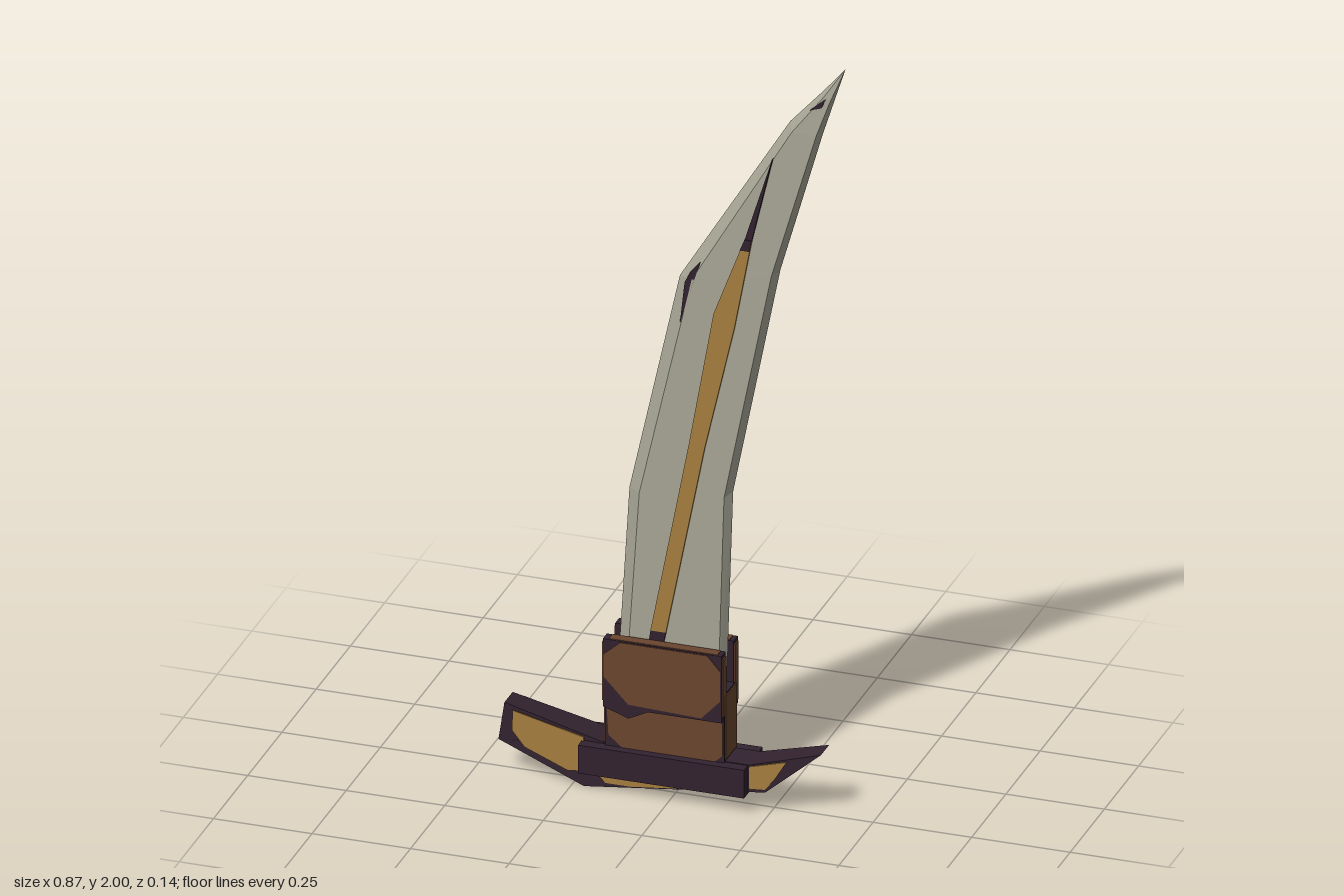
import * as THREE from 'three';

const flat = (name, color) => {
  const m = new THREE.MeshStandardMaterial({ color });
  m.name = name;
  return m;
};

export function createModel() {
  const steel = flat('steel', 0xa6a595);
  const gold = flat('gold', 0xa57d3e);
  const leather = flat('leather', 0x6a452f);
  const dark = flat('dark', 0x32222f);
  const model = new THREE.Group();
  model.name = 'curvedSword';

  const add = (name, geometry, material) => {
    const mesh = new THREE.Mesh(geometry, material);
    mesh.name = name;
    model.add(mesh);
    return mesh;
  };
  const box = (name, x0, x1, y0, y1, z0, z1, material) =>
    add(name, new THREE.BoxGeometry(x1 - x0, y1 - y0, z1 - z0), material)
      .position.set((x0 + x1) / 2, (y0 + y1) / 2, (z0 + z1) / 2);
  // Outline in the front plane, given thickness from z0 to z1
  const slab = (name, points, z0, z1, material) => {
    const shape = new THREE.Shape(points.map(([x, y]) => new THREE.Vector2(x, y)));
    const g = new THREE.ExtrudeGeometry(shape, { depth: z1 - z0, bevelEnabled: false });
    return add(name, g.translate(0, 0, z0), material);
  };
  // The same thin plate on the front and the back of a part
  const inlay = (name, points, z, material) => {
    slab(name + 'Front', points, z - 0.001, z + 0.002, material);
    slab(name + 'Back', points, -z - 0.002, -z + 0.001, material);
  };

  // Blade: left edge, left bevel, right bevel, right edge, half thickness
  const stations = [
    [[-0.148, 0.3], [-0.118, 0.3], [0.115, 0.3], [0.128, 0.3], 0.024],
    [[-0.118, 0.8], [-0.085, 0.8], [0.13, 0.82], [0.145, 0.83], 0.024],
    [[0.01, 1.385], [0.048, 1.39], [0.25, 1.43], [0.265, 1.44], 0.024],
    [[0.29, 1.84], [0.3, 1.82], [0.362, 1.82], [0.373, 1.82], 0.018],
    [[0.375, 1.935], [0.38, 1.925], [0.396, 1.915], [0.403, 1.915], 0.014],
    [[0.43, 2], [0.43, 2], [0.43, 2], [0.43, 2], 0],
  ];
  const rings = stations.map(([l, li, ri, r, t]) => [
    [...l, 0], [...li, t], [...ri, t], [...r, 0], [...ri, -t], [...li, -t],
  ]);
  const verts = [];
  for (let i = 0; i < rings.length - 1; i++) {
    for (let j = 0; j < 6; j++) {
      const k = (j + 1) % 6;
      const [a, b, c, d] = [rings[i][j], rings[i][k], rings[i + 1][k], rings[i + 1][j]];
      verts.push(...a, ...b, ...c, ...a, ...c, ...d);
    }
  }
  for (let j = 1; j < 5; j++) verts.push(...rings[0][0], ...rings[0][j + 1], ...rings[0][j]);
  const blade = new THREE.BufferGeometry();
  blade.setAttribute('position', new THREE.Float32BufferAttribute(verts, 3));
  blade.computeVertexNormals();
  add('blade', blade, steel);

  // Raised rib through the blade with dark ends
  slab('rib', [[-0.055, 0.44], [-0.016, 0.44], [0.083, 0.95], [0.158, 1.28], [0.202, 1.52],
    [0.184, 1.52], [0.105, 1.31], [0.042, 0.95]], -0.029, 0.029, gold);
  slab('ribTip', [[0.184, 1.52], [0.202, 1.52], [0.254, 1.745]], -0.029, 0.029, dark);
  slab('ribRoot', [[-0.061, 0.4], [-0.024, 0.4], [-0.016, 0.44], [-0.055, 0.44]], -0.029, 0.029, dark);
  inlay('ribShade', [[0.202, 1.52], [0.184, 1.52], [0.172, 1.49], [0.196, 1.49]], 0.029, dark);

  // Dark nicks near the blade corners
  inlay('nick', [[0.018, 1.27], [0.07, 1.44], [0.045, 1.41], [0.03, 1.38]], 0.022, dark);
  inlay('tipNick', [[0.345, 1.885], [0.375, 1.895], [0.385, 1.92]], 0.0155, dark);

  // Grip block, dark with leather panels
  box('gripBlock', -0.165, 0.138, 0.12, 0.305, -0.045, 0.045, dark);
  inlay('gripPanel', [[-0.155, 0.155], [-0.12, 0.126], [0.115, 0.126], [0.135, 0.145],
    [0.135, 0.24], [-0.16, 0.24]], 0.046, leather);
  box('gripSideLeft', 0.136, 0.141, 0.132, 0.3, -0.041, 0.041, leather);
  box('gripSideRight', -0.168, -0.163, 0.132, 0.3, -0.041, 0.041, leather);

  // Cheek plates holding the blade
  const cheek = [[-0.165, 0.235], [-0.1, 0.212], [-0.05, 0.237], [0.136, 0.237], [0.136, 0.415], [-0.165, 0.415]];
  const cheekPanel = [[-0.162, 0.315], [-0.1, 0.25], [0.085, 0.243], [0.133, 0.295],
    [0.133, 0.375], [0.1, 0.412], [-0.12, 0.412], [-0.162, 0.375]];
  for (const [z0, z1, side] of [[0.03, 0.06, 'Front'], [-0.06, -0.03, 'Back']]) {
    slab('cheek' + side, cheek, z0, z1, dark);
    box('cheekTop' + side, -0.15, 0.125, 0.413, 0.417, z0 + 0.002, z1 - 0.002, leather);
    box('cheekLeftEdge' + side, 0.134, 0.139, 0.25, 0.405, z0 + 0.003, z1 - 0.003, leather);
    box('cheekRightEdge' + side, -0.168, -0.163, 0.25, 0.405, z0 + 0.003, z1 - 0.003, leather);
  }
  inlay('cheekPanel', cheekPanel, 0.06, leather);

  // Cross guard: swept wings tapering in depth at both ends
  const guard = slab('guard', [[-0.425, 0.19], [-0.44, 0.09], [-0.22, 0.004], [0.24, 0.06],
    [0.378, 0.177], [0.2, 0.127], [-0.165, 0.127]], -0.04, 0.04, dark).geometry;
  const p = guard.attributes.position;
  for (let i = 0; i < p.count; i++) {
    if (p.getX(i) > 0.37 || p.getX(i) < -0.42) p.setZ(i, p.getZ(i) * 0.75);
  }
  guard.computeVertexNormals();
  box('guardBar', -0.225, 0.196, 0.05, 0.125, -0.068, 0.068, dark);

  // Gold panels on the guard
  const rightWing = [[-0.4, 0.178], [-0.402, 0.125], [-0.37, 0.085], [-0.26, 0.04],
    [-0.22, 0.045], [-0.22, 0.135]];
  const leftWing = [[0.2, 0.065], [0.24, 0.068], [0.265, 0.1], [0.295, 0.15], [0.2, 0.123]];
  const belly = [[-0.19, 0.046], [-0.165, 0.022], [-0.1, 0.022], [0.18, 0.055], [-0.19, 0.055]];
  inlay('rightWingPanel', rightWing, 0.04, gold);
  inlay('leftWingPanel', leftWing, 0.04, gold);
  inlay('bellyPanel', belly, 0.04, gold);

  return model;
}
